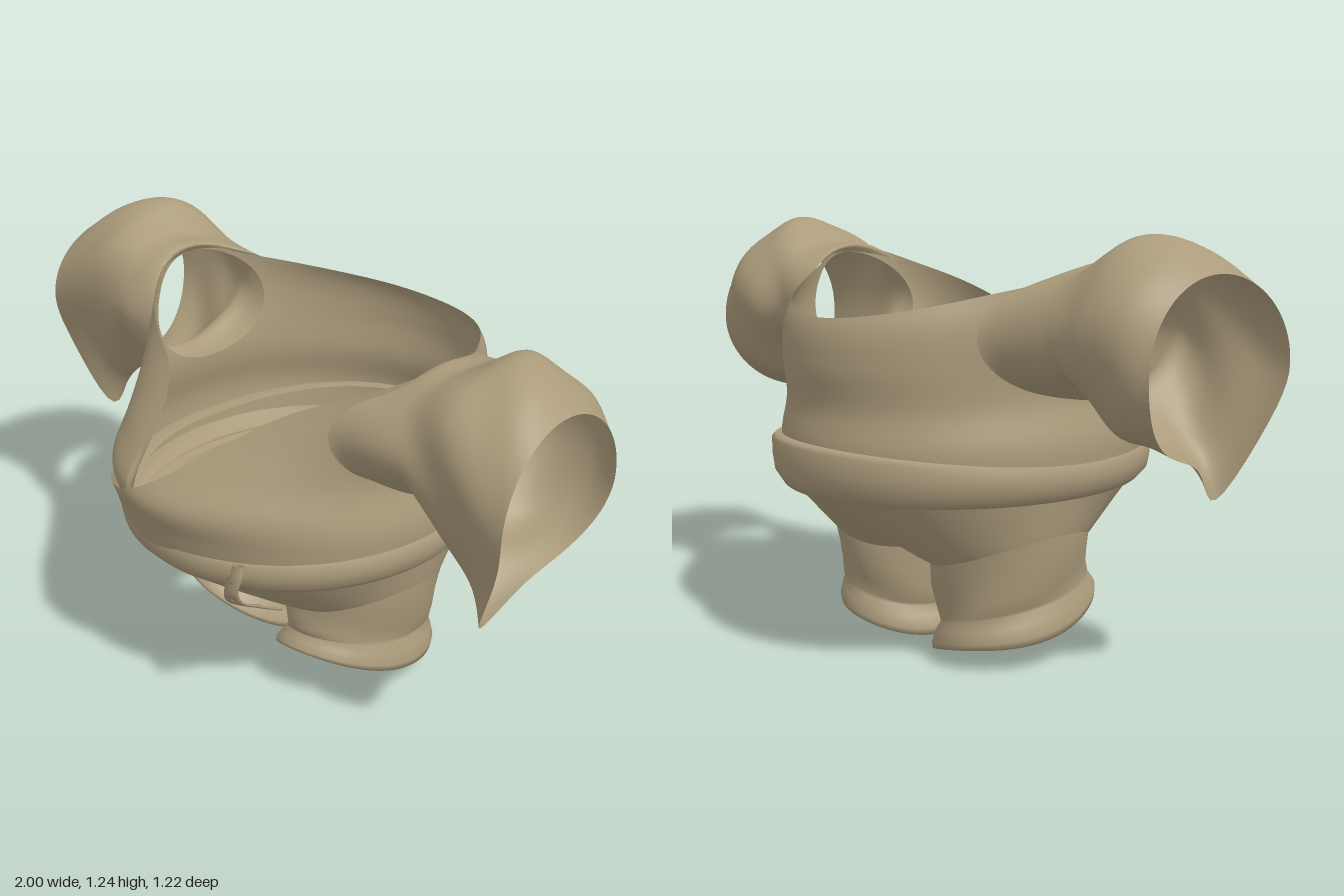
import * as THREE from 'three';

const RAD = Math.PI / 180;
const { lerp, clamp, smoothstep } = THREE.MathUtils;
const cloth = new THREE.MeshStandardMaterial({ color: 0xab9b7b, side: THREE.DoubleSide });
cloth.name = 'tan cloth';

// Smooth curve through [position, value] pairs
function curve(pairs) {
  const c = new THREE.CubicInterpolant(pairs.map(p => p[0]), pairs.map(p => p[1]), 1, [0]);
  const lo = pairs[0][0], hi = pairs[pairs.length - 1][0];
  return t => c.evaluate(clamp(t, lo, hi))[0];
}

// Surface from a rule point(u, v); skip(u, v) marks vertices inside a hole
function sheet(name, point, nu, nv, closed = false, skip = () => false) {
  const pos = [], idx = [], hole = [], cols = closed ? nu : nu + 1;
  for (let j = 0; j <= nv; j++) for (let i = 0; i < cols; i++) {
    pos.push(...point(i / nu, j / nv));
    hole.push(skip(i / nu, j / nv));
  }
  for (let j = 0; j < nv; j++) for (let i = 0; i < nu; i++) {
    const k = (i + 1) % cols;
    const a = j * cols + i, b = j * cols + k, c = a + cols, d = b + cols;
    if (hole[a] && hole[b] && hole[c] && hole[d]) continue;
    idx.push(a, c, b, b, c, d);
  }
  const g = new THREE.BufferGeometry();
  g.setAttribute('position', new THREE.Float32BufferAttribute(pos, 3));
  g.setIndex(idx);
  g.computeVertexNormals();
  const m = new THREE.Mesh(g, cloth);
  m.name = name;
  return m;
}

// Half width, front depth and back depth of the jacket by height
const width = curve([[0.55, 0.51], [0.66, 0.515], [0.78, 0.49], [0.95, 0.49], [1.16, 0.5]]);
const front = curve([[0.55, 0.55], [0.64, 0.575], [0.74, 0.6], [0.83, 0.54], [0.93, 0.455], [1.04, 0.37], [1.16, 0.3]]);
const back = curve([[0.55, 0.56], [0.65, 0.57], [0.75, 0.555], [0.88, 0.57], [1, 0.55], [1.08, 0.48], [1.16, 0.4]]);
// The chest grows squarer towards the shoulders, which swell out into the sleeves
const chestPower = y => lerp(1, 0.75, smoothstep(y, 0.78, 1.05));
const shoulder = (y, z) => 0.07 * smoothstep(y, 0.8, 1.12) * Math.exp(-((z / 0.22) ** 2));

// Neckline height by angle, from the hidden flap round the back to the crossing flap
const neckline = curve([[-265, 0.76], [-263, 0.88], [-259, 0.96], [-253, 1.01], [-240, 1.045], [-210, 1.09],
  [-180, 1.15], [-150, 1.09], [-120, 1.03], [-90, 1.005], [-60, 1.03], [-30, 1.09], [0, 1.15], [30, 1.09],
  [55, 1.0], [78, 0.84], [90, 0.765], [105, 0.71], [122, 0.66], [143, 0.58]]);

const HOLE = { y: 0.97, z: -0.02, ry: 0.165, rz: 0.2 };

// x of the jacket side wall at a given height and depth
function wallX(y, z) {
  const s = z > 0 ? (z / front(y)) ** (1 / chestPower(y)) : z / back(y);
  return width(y) * Math.sqrt(Math.max(0, 1 - s * s)) + shoulder(y, z);
}

function jacketPoint(u, v) {
  const deg = -265 + 408 * u, a = deg * RAD;
  const y = lerp(0.55, neckline(deg), v);
  const out = 1 + 0.025 * smoothstep(deg, 60, 95);
  const s = Math.sin(a), c = Math.cos(a);
  const z = s > 0 ? front(y) * s ** chestPower(y) : back(y) * s;
  return [(width(y) * c + Math.sign(c) * Math.min(1, Math.abs(c) * 2) * shoulder(y, z)) * out, y, z * out];
}

function holeDistance([x, y, z]) {
  if (Math.abs(x) < 0.3) return 9;
  return Math.hypot((y - HOLE.y) / HOLE.ry, (z - HOLE.z) / HOLE.rz);
}

// Jacket body, with vertices inside the armholes pushed out to the rim
function jacket() {
  return sheet('jacketBody', (u, v) => {
    const p = jacketPoint(u, v), d = holeDistance(p);
    if (d >= 1) return p;
    const k = 1 / Math.max(d, 0.05);
    const y = HOLE.y + (p[1] - HOLE.y) * k, z = HOLE.z + (p[2] - HOLE.z) * k;
    return [Math.sign(p[0]) * wallX(y, z), y, z];
  }, 160, 36, false, (u, v) => holeDistance(jacketPoint(u, v)) < 1);
}

// Sleeve: top, bottom, front and back limits along its length, ending in a torn point
const sleeveX = curve([[0, 0.5], [0.15, 0.56], [0.3, 0.63], [0.55, 0.75], [0.8, 0.87], [1, 0.96]]);
const sleeveTop = curve([[0, 1.135], [0.15, 1.16], [0.3, 1.17], [0.42, 1.205], [0.55, 1.235], [0.8, 1.21], [1, 1.15]]);
const sleeveBottom = curve([[0, 0.79], [0.15, 0.785], [0.3, 0.81], [0.42, 0.76], [0.55, 0.715], [0.8, 0.69], [1, 0.67]]);
const sleeveFront = curve([[0, 0.27], [0.15, 0.24], [0.3, 0.225], [0.55, 0.225], [1, 0.235]]);
const sleeveBack = curve([[0, -0.32], [0.15, -0.275], [0.3, -0.265], [0.55, -0.28], [0.8, -0.28], [1, -0.25]]);

function sleeve(side) {
  return sheet(side > 0 ? 'leftSleeve' : 'rightSleeve', (u, v) => {
    const b = u * 2 * Math.PI, c = Math.cos(b), s = Math.sin(b);
    const t = sleeveTop(v), l = sleeveBottom(v), f = sleeveFront(v), k = sleeveBack(v);
    const fold = 0.008 * Math.sin(b * 5 + v * 9) * Math.sin(v * Math.PI);
    let y = (t + l) / 2 + ((t - l) / 2 + fold) * s;
    const z = (f + k) / 2 + ((f - k) / 2 + fold) * c;
    const low = Math.max(0, -s), end = v * v * v;
    const tip = Math.exp(-(((u * 360 - 305) / 23) ** 2));
    let x = sleeveX(v) + end * (0.025 * c + 0.013 * (1 - s * s) - 0.06 * low * low - 0.08 * tip);
    y -= end * 0.17 * tip;
    x = lerp(wallX(y, z), x, smoothstep(v, 0, 0.2));
    return [side * x, y, z];
  }, 64, 30, true);
}

// Sash: a rounded band, higher at the back
function sash() {
  const inset = [0.06, 0.012, 0, 0, 0.006, 0.03, 0.09];
  const drop = [0.02, 0, 0.08, 0.4, 0.7, 0.95, 1];
  return sheet('sash', (u, v) => {
    const a = u * 2 * Math.PI, s = Math.sin(a), j = Math.round(v * 6);
    const top = 0.605 + 0.05 * Math.max(0, -s) ** 1.5;
    const r = inset[j];
    return [(0.53 - r) * Math.cos(a), lerp(top, 0.5, drop[j]), ((s > 0 ? 0.57 : 0.605) - r) * s];
  }, 96, 6, true);
}

// Trouser seat: each half blends from half of the waist oval into a leg ring
const LEG = { x: 0.235, z: -0.04 };
const legTop = c => 0.335 + 0.055 * c;
function rimPoint(c, s) {
  let lo = 0, hi = 1.5;
  const inside = (x, z) => x > 0 && (x / 0.47) ** 2 + (z / 0.55) ** 2 < 1;
  for (let i = 0; i < 30; i++) {
    const m = (lo + hi) / 2;
    if (inside(LEG.x + c * m, LEG.z + s * m)) lo = m; else hi = m;
  }
  const x = LEG.x + c * lo, z = LEG.z + s * lo;
  const y = x < 0.002 ? 0.24 + 0.27 * Math.min(1, Math.abs(z) / 0.55) ** 1.35 : 0.51;
  return [x, y, z];
}

function seatHalf(side) {
  return sheet(side > 0 ? 'trouserSeatLeft' : 'trouserSeatRight', (u, v) => {
    const a = u * 2 * Math.PI, c = Math.cos(a), s = Math.sin(a);
    const p = rimPoint(c, s);
    // The front and back slope lower than the sides
    const y0 = legTop(c) - 0.03 * s * s;
    return [
      side * lerp(LEG.x + 0.212 * c, p[0], v),
      lerp(y0, p[1], v ** 1.1),
      lerp(LEG.z + 0.245 * s, p[2], v)];
  }, 96, 12, true);
}

// Leg and cuff: x radius, z radius, share of the way down to the slanted hem
const legRings = [[0.212, 0.245, 0], [0.205, 0.244, 0.25], [0.195, 0.238, 0.5], [0.19, 0.236, 0.66], [0.186, 0.232, 0.7],
  [0.202, 0.25, 0.8], [0.213, 0.262, 0.93], [0.212, 0.26, 1], [0.195, 0.24, 1], [0.18, 0.22, 0.85], [0.178, 0.205, 0.6]];
function leg(side) {
  return sheet(side > 0 ? 'leftLeg' : 'rightLeg', (u, v) => {
    const a = u * 2 * Math.PI, c = Math.cos(a), s = Math.sin(a);
    const j = Math.round(v * 10), [rx, rz, d] = legRings[j];
    const hem = 0.085 + 0.045 * c + 0.065 * s - 0.03 * Math.cos(2 * a);
    const fold = j > 0 && j < 5 ? 0.005 * Math.sin(a * 3 + j * 1.6) : 0;
    const shift = d * 0.03;
    return [
      side * (LEG.x - shift * 0.35 + (rx + fold) * c),
      lerp(legTop(c) - 0.03 * s * s, hem, d),
      LEG.z + shift + (rz + fold) * s];
  }, 64, 10, true);
}

// Flat ribbon hanging along a path
function ribbon(name, pts, w) {
  const path = new THREE.CatmullRomCurve3(pts.map(p => new THREE.Vector3(...p)));
  return sheet(name, (u, v) => {
    const p = path.getPoint(v), q = u * 2 * Math.PI;
    return [p.x + w * Math.cos(q), p.y + w * 0.3 * Math.cos(q), p.z + 0.008 * Math.sin(q)];
  }, 10, 16, true);
}

export function createModel() {
  const model = new THREE.Group();
  model.name = 'robeOutfit';
  model.add(jacket(), sash());
  for (const side of [1, -1]) model.add(sleeve(side), seatHalf(side), leg(side));
  // Sash knot and its two hanging ends
  model.add(
    ribbon('sashKnot', [[0.3, 0.61, 0.49], [0.305, 0.57, 0.505], [0.29, 0.52, 0.51], [0.27, 0.49, 0.49]], 0.025),
    ribbon('sashEndLong', [[0.29, 0.58, 0.51], [0.25, 0.48, 0.49], [0.2, 0.39, 0.4], [0.17, 0.335, 0.32]], 0.014),
    ribbon('sashEndShort', [[0.3, 0.57, 0.51], [0.28, 0.48, 0.48], [0.25, 0.4, 0.38], [0.23, 0.34, 0.29]], 0.014));
  return model;
}
